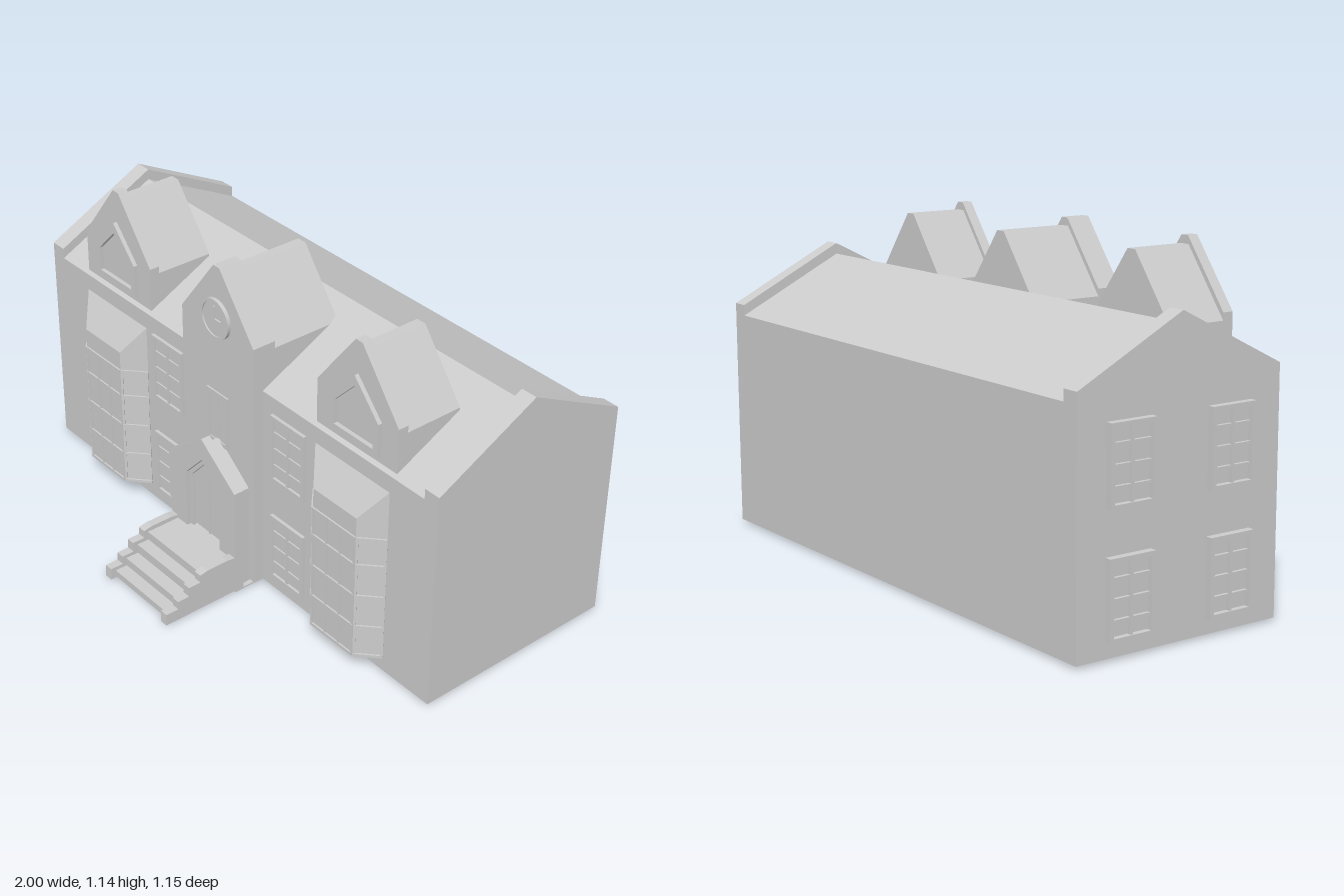
import * as THREE from 'three';

const mat = new THREE.MeshStandardMaterial({ color: 0xcccccc, flatShading: true, side: THREE.DoubleSide });
const CX = 0.0125;              // centre line of the facade
const L = -0.975, R = 1.0;      // end walls
const F = 0.18, B = -0.575, RZ = -0.197; // front, back, ridge in z
const BASE = 0.01, EAVE = 0.76, RIDGE = 0.95;

function add(parent, name, geo, x = 0, y = 0, z = 0) {
  const m = new THREE.Mesh(geo, mat);
  m.name = name;
  m.position.set(x, y, z);
  parent.add(m);
  return m;
}
const box = (p, name, w, h, d, x, y, z) => add(p, name, new THREE.BoxGeometry(w, h, d), x, y, z);
const poly = (pts) => new THREE.Shape(pts.map(([x, y]) => new THREE.Vector2(x, y)));
const rect = (x0, y0, x1, y1) => poly([[x0, y0], [x1, y0], [x1, y1], [x0, y1]]);
const extrude = (shape, depth) => new THREE.ExtrudeGeometry(shape, { depth, bevelEnabled: false, curveSegments: 1 });

// Gable outline of half width w, with an optional flat ridge of half width r
function gable(w, y0, eave, peak, r = 0) {
  const top = r ? [[r, peak], [-r, peak]] : [[0, peak]];
  return poly([[-w, y0], [w, y0], [w, eave], ...top, [-w, eave]]);
}

// Flat four-cornered sheets, corners counter-clockwise from outside
function quads(list) {
  const v = [];
  for (const [a, b, c, d] of list) v.push(...a, ...b, ...c, ...a, ...c, ...d);
  const g = new THREE.BufferGeometry();
  g.setAttribute('position', new THREE.Float32BufferAttribute(v, 3));
  g.computeVertexNormals();
  return g;
}

// Framed window facing +z, its back on z = 0
function makeWindow(name, w, h, cols, rows, depth) {
  const g = new THREE.Group();
  g.name = name;
  const t = 0.014, frame = rect(-w / 2, -h / 2, w / 2, h / 2);
  frame.holes.push(rect(-w / 2 + t, -h / 2 + t, w / 2 - t, h / 2 - t));
  add(g, 'windowFrame', extrude(frame, depth));
  add(g, 'windowPane', new THREE.PlaneGeometry(w - t, h - t), 0, 0, depth * 0.25);
  for (let i = 1; i < cols; i++) box(g, 'mullion', 0.01, h - t, depth * 0.8, -w / 2 + w * i / cols, 0, depth * 0.4);
  for (let i = 1; i < rows; i++) box(g, 'glazingBar', w - t, 0.008, depth * 0.7, 0, -h / 2 + h * i / rows, depth * 0.35);
  return g;
}

function makeHouse(root) {
  // Front wall with openings behind the bays and the tower
  const front = rect(L, BASE, R, EAVE);
  front.holes.push(rect(CX - 0.18, BASE + 0.001, CX + 0.18, EAVE - 0.01));
  for (const s of [-1, 1]) {
    const c = CX + s * 0.61;
    front.holes.push(rect(c - 0.168, 0.06, c + 0.168, 0.70));
  }
  add(root, 'frontWall', new THREE.ShapeGeometry(front), 0, 0, F);
  add(root, 'backWall', quads([[[R, BASE, B], [L, BASE, B], [L, EAVE, B], [R, EAVE, B]]]));
  add(root, 'mainRoof', quads([
    [[L, EAVE, F], [R, EAVE, F], [R, RIDGE, RZ], [L, RIDGE, RZ]],
    [[R, EAVE, B], [L, EAVE, B], [L, RIDGE, RZ], [R, RIDGE, RZ]],
  ]));
  // End walls and the raised parapets above the roof
  const end = poly([[-F, BASE], [-B, BASE], [-B, 0.797], [-RZ, 0.988], [-F, 0.797]]);
  const cap = poly([[-F, EAVE], [-RZ, RIDGE], [-B, EAVE], [-B, 0.797], [-RZ, 0.988], [-F, 0.797]]);
  for (const [x, inner] of [[L, L], [R, R - 0.06]]) {
    add(root, 'endWall', new THREE.ShapeGeometry(end), x).rotation.y = Math.PI / 2;
    add(root, 'parapet', extrude(cap, 0.06), inner).rotation.y = Math.PI / 2;
  }
  // Windows on the front and on one end wall
  for (const y of [0.185, 0.575]) {
    for (const s of [-1, 1]) {
      const w = makeWindow('frontWindow', 0.165, 0.25, 2, 4, 0.012);
      w.position.set(CX + s * 0.315, y, F);
      root.add(w);
    }
    for (const z of [-0.39, -0.015]) {
      const w = makeWindow('endWindow', 0.165, 0.25, 2, 4, 0.025);
      w.position.set(L, y, z);
      w.rotation.y = -Math.PI / 2;
      root.add(w);
    }
  }
}

function makeDormer(x) {
  const g = new THREE.Group();
  g.name = 'dormer';
  g.position.x = x;
  add(g, 'dormerBody', extrude(gable(0.1825, 0.77, 0.90, 1.115, 0.018), 0.21), 0, 0, -0.082);
  add(g, 'dormerFront', extrude(gable(0.1825, 0.767, 0.925, 1.142, 0.015), 0.037), 0, 0, 0.128);
  const frame = gable(0.11, 0.79, 0.91, 1.03);
  frame.holes.push(gable(0.088, 0.814, 0.90, 0.992));
  add(g, 'dormerWindowFrame', extrude(frame, 0.015), 0, 0, 0.165);
  return g;
}

function makeBay(x) {
  const g = new THREE.Group();
  g.name = 'bayWindow';
  g.position.x = x;
  const a = 0.17, b = 0.1, z0 = F, z1 = 0.246, y0 = 0.06, y1 = 0.595, y2 = 0.70;
  add(g, 'bayShell', quads([
    [[-b, y0, z1], [b, y0, z1], [b, y1, z1], [-b, y1, z1]],
    [[b, y0, z1], [a, y0, z0], [a, y2, z0], [b, y1, z1]],
    [[-a, y0, z0], [-b, y0, z1], [-b, y1, z1], [-a, y2, z0]],
    [[-b, y1, z1], [b, y1, z1], [a, y2, z0], [-a, y2, z0]],
    [[-a, y0, z0], [a, y0, z0], [b, y0, z1], [-b, y0, z1]],
  ]));
  // Glazing bars on the three faces
  const dx = a - b, dz = z1 - z0, side = Math.hypot(dx, dz);
  for (const s of [-1, 0, 1]) {
    const face = new THREE.Group();
    face.name = 'bayGlazing';
    const w = s ? side : 2 * b, cols = s ? 1 : 3;
    face.position.set(s * (a + b) / 2, 0, s ? (z0 + z1) / 2 : z1);
    face.rotation.y = s * Math.atan2(dz, dx);
    for (const y of [0.066, 0.18, 0.3, 0.42, 0.522]) box(face, 'glazingBar', w, 0.01, 0.012, 0, y, 0);
    for (let i = 0; i <= cols; i++) box(face, 'mullion', 0.008, 0.46, 0.008, (w - 0.008) * (i / cols - 0.5), 0.292, 0);
    g.add(face);
  }
  return g;
}

function makeTower() {
  const g = new THREE.Group();
  g.name = 'tower';
  g.position.x = CX;
  const w = 0.1825, z = 0.217;
  add(g, 'towerWalls', quads([
    [[-w, BASE, z], [w, BASE, z], [w, EAVE, z], [-w, EAVE, z]],
    [[w, BASE, z], [w, BASE, F], [w, EAVE, F], [w, EAVE, z]],
    [[-w, BASE, F], [-w, BASE, z], [-w, EAVE, z], [-w, EAVE, F]],
  ]));
  add(g, 'towerGable', extrude(gable(w, EAVE, 0.925, 1.142, 0.015), 0.087), 0, 0, 0.13);
  add(g, 'towerRoof', extrude(gable(w, EAVE + 0.01, 0.90, 1.115, 0.018), 0.26), 0, 0, -0.13);
  const win = makeWindow('towerWindow', 0.11, 0.2, 2, 1, 0.006);
  win.position.set(0, 0.58, z);
  g.add(win);
  // Clock with a raised rim and two hands
  const clock = new THREE.Group();
  clock.name = 'clock';
  clock.position.set(0, 0.957, z);
  add(clock, 'clockFace', new THREE.CylinderGeometry(0.065, 0.065, 0.008, 32), 0, 0, 0.004).rotation.x = Math.PI / 2;
  const rim = new THREE.Shape().absarc(0, 0, 0.071, 0, Math.PI * 2);
  rim.holes.push(new THREE.Path().absarc(0, 0, 0.061, 0, Math.PI * 2));
  add(clock, 'clockRim', new THREE.ExtrudeGeometry(rim, { depth: 0.013, bevelEnabled: false, curveSegments: 32 }));
  box(clock, 'minuteHand', 0.006, 0.05, 0.006, 0, 0.022, 0.011);
  box(clock, 'hourHand', 0.035, 0.006, 0.006, 0.015, 0, 0.011);
  g.add(clock);
  return g;
}

function makePorch() {
  const g = new THREE.Group();
  g.name = 'porch';
  g.position.x = CX;
  const doorway = () => gable(0.088, 0.13, 0.35, 0.445);
  const front = gable(0.172, 0.005, 0.40, 0.527), body = gable(0.155, 0.005, 0.385, 0.505);
  front.holes.push(doorway());
  body.holes.push(doorway());
  add(g, 'porchFront', extrude(front, 0.035), 0, 0, 0.255);
  add(g, 'porchBody', extrude(body, 0.038), 0, 0, 0.217);
  const frame = gable(0.088, 0.13, 0.35, 0.445);
  frame.holes.push(gable(0.074, 0.13, 0.343, 0.425));
  add(g, 'doorFrame', extrude(frame, 0.012), 0, 0, 0.262);
  add(g, 'door', new THREE.ShapeGeometry(doorway()), 0, 0, 0.258);
  box(g, 'doorSeam', 0.005, 0.29, 0.006, 0, 0.275, 0.26);
  box(g, 'porchFloor', 0.344, 0.006, 0.19, 0, 0.003, 0.195);
  // Stair flight: stepped sheet between two stepped cheeks
  const flight = [];
  const zs = [0.555, 0.51, 0.462, 0.417, 0.29], ys = [BASE, 0.034, 0.064, 0.098, 0.13];
  for (let i = 0; i < 4; i++) {
    const w = 0.145, [za, zb, ya, yb] = [zs[i], zs[i + 1], ys[i], ys[i + 1]];
    flight.push([[-w, ya, za], [w, ya, za], [w, yb, za], [-w, yb, za]]);
    flight.push([[-w, yb, za], [w, yb, za], [w, yb, zb], [-w, yb, zb]]);
  }
  add(g, 'steps', quads(flight));
  const cheek = poly([[-0.29, 0.005], [-0.575, 0.005], [-0.573, 0.047], [-0.525, 0.047], [-0.525, 0.077],
    [-0.48, 0.077], [-0.48, 0.112], [-0.433, 0.112], [-0.433, 0.14], [-0.40, 0.146], [-0.32, 0.146], [-0.29, 0.142]]);
  for (const s of [-1, 1]) {
    add(g, 'stairCheek', extrude(cheek, 0.03), s * 0.155 - 0.015).rotation.y = Math.PI / 2;
  }
  return g;
}

export function createModel() {
  const root = new THREE.Group();
  root.name = 'schoolhouse';
  makeHouse(root);
  for (const s of [-1, 1]) root.add(makeDormer(CX + s * 0.61), makeBay(CX + s * 0.61));
  root.add(makeTower(), makePorch());
  return root;
}
